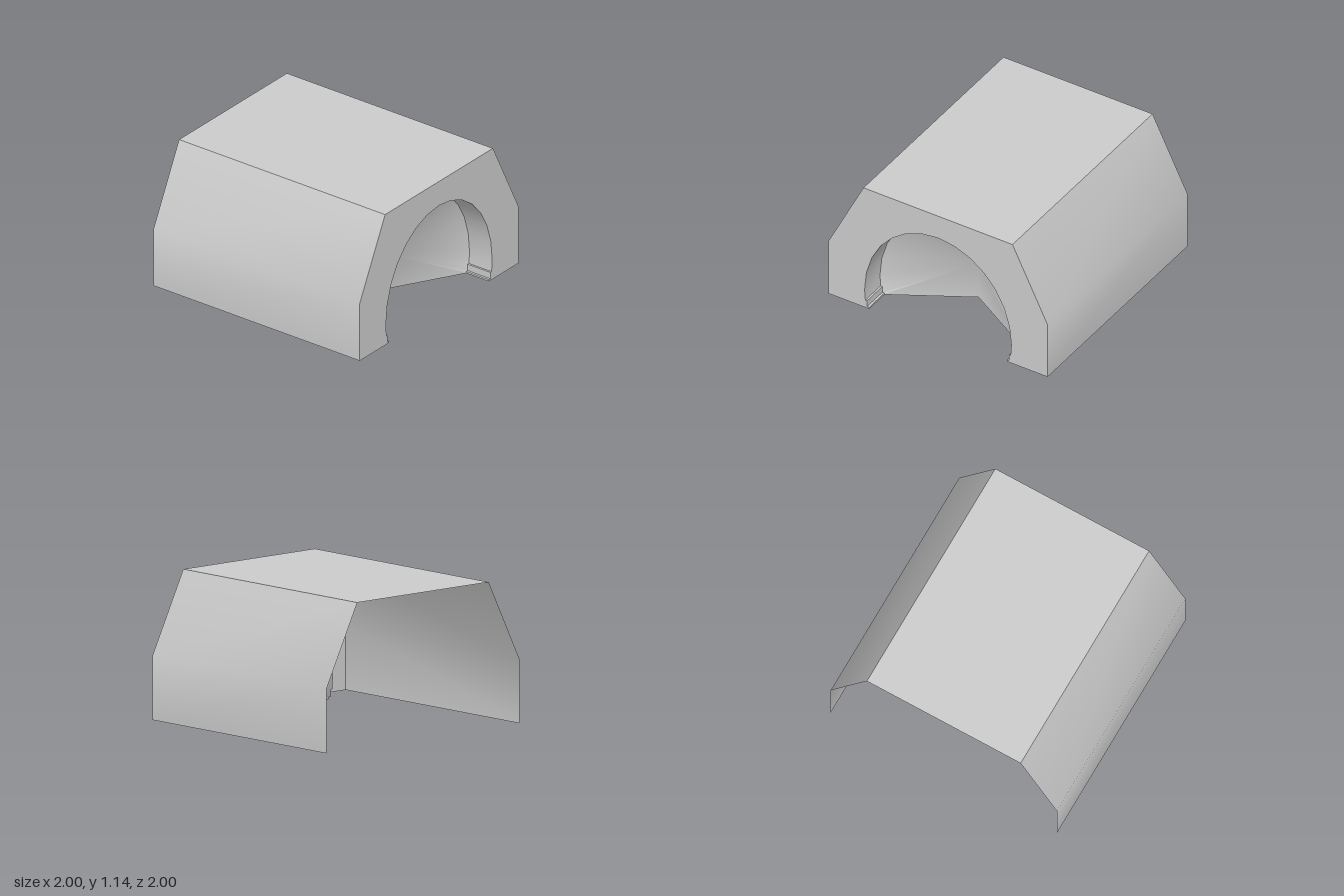
import * as THREE from 'three';

const material = new THREE.MeshStandardMaterial({ color: 0xcccccc, side: THREE.DoubleSide });

function part(name, geometry) {
  const mesh = new THREE.Mesh(geometry, material);
  mesh.name = name;
  return mesh;
}

function indexed(positions, index) {
  const g = new THREE.BufferGeometry();
  g.setAttribute('position', new THREE.Float32BufferAttribute(positions, 3));
  g.setIndex(index);
  g.computeVertexNormals();
  return g;
}

// Sheet swept along x from a profile of [z, y] points, smooth along the profile
function sheet(profile, x0, x1) {
  const positions = [], index = [];
  profile.forEach(([z, y], i) => {
    positions.push(x0, y, z, x1, y, z);
    if (i) {
      const a = 2 * i - 2;
      index.push(a, a + 1, a + 3, a, a + 3, a + 2);
    }
  });
  return indexed(positions, index);
}

const mirror = (points) => points.map(([z, y]) => [-z, y]).reverse();

export function createModel() {
  const model = new THREE.Group();
  const frontX = 1, recessX = 0.78, tipX = 0.42, tipY = 0.33;

  // Outer shell: two bent side walls and a flat roof, open at one end and below
  const side = [[1, 0], [1, 0.5], [0.68, 1.14]];
  model.add(part('sideWallFront', sheet(side, -1, 1)));
  model.add(part('roof', sheet([[0.68, 1.14], [-0.68, 1.14]], -1, 1)));
  model.add(part('sideWallBack', sheet(mirror(side), -1, 1)));

  // Arch outline, from -z over the top to +z, with stepped feet
  const curve = [];
  const foot = [[-0.628, 0], [-0.628, 0.015], [-0.647, 0.015], [-0.647, 0.07], [-0.663, 0.07]];
  for (let i = -7; i <= 7; i++) {
    const a = (i / 28) * Math.PI * 2;
    curve.push([0.67 * Math.sin(a), 0.17 + 0.76 * Math.cos(a)]);
  }
  curve.unshift(foot[4]);
  curve.push([0.663, 0.07]);
  const arch = [...foot.slice(0, 4), ...curve, ...mirror(foot.slice(0, 4))];

  // End wall with the arch cut out of it
  const outline = [...side, ...mirror(side), ...arch];
  const wall = new THREE.ShapeGeometry(new THREE.Shape(outline.map(([z, y]) => new THREE.Vector2(-z, y))));
  wall.rotateY(Math.PI / 2).translate(frontX, 0, 0);
  model.add(part('endWall', wall));

  // Tunnel lining behind the arch, with hard edged steps at both feet
  model.add(part('tunnelLining', sheet(curve, recessX, frontX)));
  for (const steps of [foot, mirror(foot)]) {
    for (let i = 1; i < steps.length; i++) {
      model.add(part('footStep', sheet([steps[i - 1], steps[i]], recessX, frontX)));
    }
  }

  // Tapered recess closing the tunnel, running in to a short upright edge
  const positions = [tipX, 0, 0, tipX, tipY, 0];
  const index = [];
  arch.forEach(([z, y], i) => {
    positions.push(recessX, y, z);
    if (i) index.push(1, i + 1, i + 2);
  });
  index.push(0, 2, 1, 0, 1, arch.length + 1);
  model.add(part('recess', indexed(positions, index)));

  return model;
}
